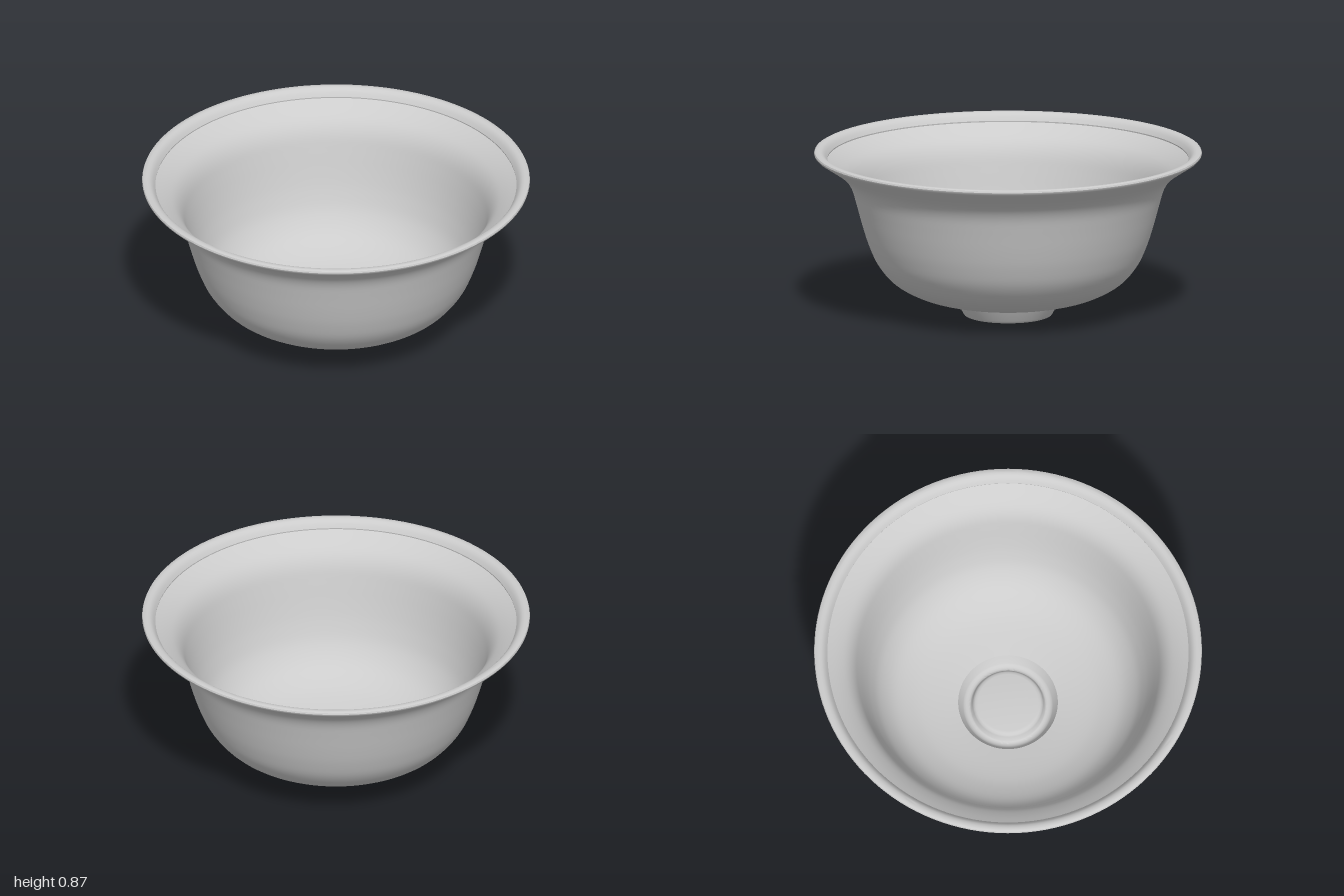
import * as THREE from 'three';
import { toCreasedNormals } from 'three/addons/utils/BufferGeometryUtils.js';

const V = (x, y) => new THREE.Vector2(x, y);
const SEGMENTS = 128;
const THICKNESS = 0.014;

// Smooth wall from the foot up to the flared rim
const wall = new THREE.SplineCurve([
  V(0.26, 0.066), V(0.4, 0.096), V(0.5, 0.13), V(0.6, 0.19), V(0.675, 0.28), V(0.72, 0.38),
  V(0.752, 0.48), V(0.782, 0.59), V(0.806, 0.67), V(0.838, 0.725), V(0.885, 0.768), V(0.94, 0.806),
]);

// Inner skin: the wall pushed inwards along its normal
function offsetWall(count) {
  const points = [];
  for (let i = count; i >= 0; i--) {
    const p = wall.getPoint(i / count);
    const t = wall.getTangent(i / count);
    points.push(V(p.x - t.y * THICKNESS, p.y + t.x * THICKNESS));
  }
  return points;
}

function lathe(name, points, material) {
  const geometry = toCreasedNormals(new THREE.LatheGeometry(points, SEGMENTS), 0.6);
  const mesh = new THREE.Mesh(geometry, material);
  mesh.name = name;
  return mesh;
}

export function createModel() {
  const group = new THREE.Group();
  group.name = 'basin';
  const material = new THREE.MeshStandardMaterial({ color: 0xcccccc, side: THREE.DoubleSide });

  // Bowl: outside wall, rounded lip, stepped rim and inside wall
  group.add(lathe('bowl', [
    ...wall.getPoints(44),
    V(0.99, 0.838), V(0.998, 0.846), V(1, 0.853), V(0.997, 0.861), V(0.99, 0.865),
    V(0.975, 0.865), V(0.962, 0.862), V(0.951, 0.854), V(0.941, 0.842), V(0.931, 0.824),
    ...offsetWall(44),
  ], material));

  // Foot: underside of the drain well with its central recess
  group.add(lathe('drainFoot', [
    V(0, 0.062), V(0.14, 0.062), V(0.157, 0.058), V(0.166, 0.047), V(0.172, 0.02),
    V(0.178, 0.008), V(0.19, 0.001), V(0.2, 0), V(0.215, 0), V(0.225, 0.004),
    V(0.232, 0.014), V(0.26, 0.066),
  ], material));

  // Drain well: sloped side, flat ring and raised centre disc
  group.add(lathe('drainWell', [
    V(0.257, 0.08), V(0.232, 0.032), V(0.226, 0.024), V(0.216, 0.018), V(0.205, 0.016),
    V(0.196, 0.018), V(0.19, 0.024), V(0.182, 0.055), V(0.177, 0.066), V(0.168, 0.073),
    V(0.155, 0.075), V(0, 0.075),
  ], material));

  return group;
}
